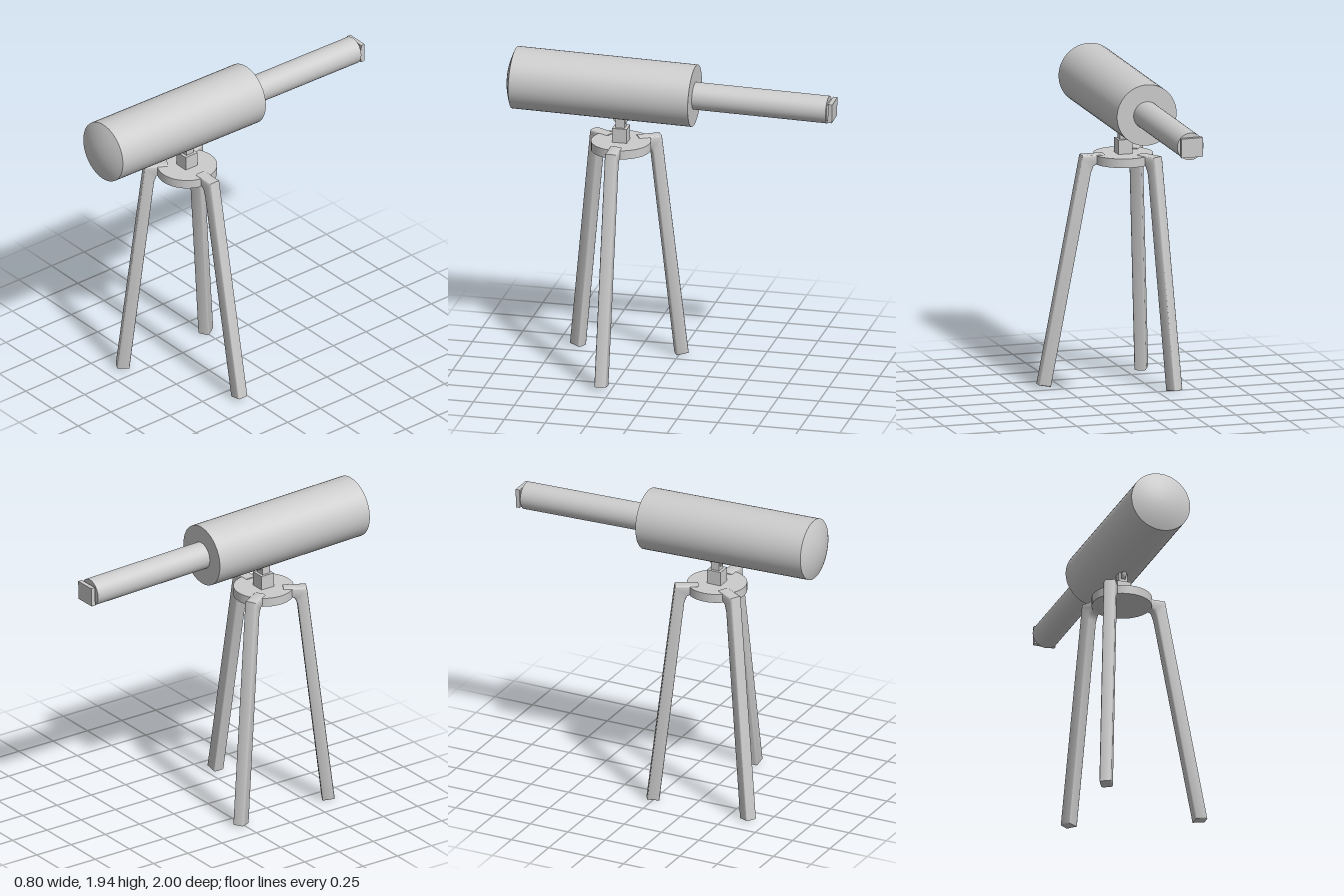
import * as THREE from 'three';
import { toCreasedNormals } from 'three/addons/utils/BufferGeometryUtils.js';

export function createModel() {
  const model = new THREE.Group();
  model.name = 'telescopeOnTripod';
  const grey = new THREE.MeshStandardMaterial({ color: 0xcccccc });
  grey.name = 'light grey';

  function add(parent, name, geometry, x = 0, y = 0, z = 0) {
    const mesh = new THREE.Mesh(geometry, grey);
    mesh.name = name;
    mesh.position.set(x, y, z);
    parent.add(mesh);
    return mesh;
  }

  // Optical tube: built along local +y, then tipped towards the front
  const tube = new THREE.Group();
  tube.name = 'opticalTube';
  tube.position.set(-0.137, 1.728, -0.143);
  tube.quaternion.setFromUnitVectors(
    new THREE.Vector3(0, 1, 0),
    new THREE.Vector3(0.009, 0.025, 1.1).normalize()
  );
  model.add(tube);

  const R = 0.187, LENGTH = 1.1;
  add(tube, 'mainBarrel', new THREE.CylinderGeometry(R, R, LENGTH, 48), 0, LENGTH / 2, 0);

  // Shallow domed front lens
  const dome = [];
  for (let i = 0; i <= 8; i++) {
    const t = i / 8;
    dome.push(new THREE.Vector2(R * (1 - t), 0.042 * (1 - (1 - t) ** 2)));
  }
  add(tube, 'frontLens', new THREE.LatheGeometry(dome, 48), 0, LENGTH, 0);

  // Narrow rear tube with a square eyepiece
  add(tube, 'rearTube', new THREE.CylinderGeometry(0.083, 0.083, 0.83, 40), 0, -0.405, 0);
  add(tube, 'eyepieceNeck', new THREE.BoxGeometry(0.11, 0.03, 0.095), 0, -0.825, 0);
  add(tube, 'eyepiece', new THREE.BoxGeometry(0.135, 0.026, 0.117), 0, -0.844, 0);

  // Mount: block, two fork prongs and the pivot tongue under the barrel
  const CX = -0.135, CZ = 0.309;
  add(model, 'mountBlock', new THREE.BoxGeometry(0.087, 0.09, 0.09), CX, 1.448, CZ);
  add(model, 'forkBase', new THREE.BoxGeometry(0.054, 0.025, 0.054), CX, 1.502, CZ);
  for (const side of [-1, 1]) {
    add(model, 'forkProng', new THREE.BoxGeometry(0.013, 0.075, 0.054), CX + side * 0.0205, 1.527, CZ);
  }
  const tongue = new THREE.CylinderGeometry(0.048, 0.048, 0.028, 24).rotateZ(Math.PI / 2);
  add(model, 'pivotTongue', tongue, CX, 1.558, CZ);

  // Tripod plate
  add(model, 'tripodPlate', new THREE.CylinderGeometry(0.18, 0.18, 0.055, 40), CX, 1.3775, CZ);

  // Leg: bent side profile (outer top corner at x = 0), extruded to its width
  function addLeg(name, x, z, dx, dz, spread, footY) {
    const drop = spread * 0.053;
    const profile = new THREE.Shape([
      [-0.14, 1.41], [-0.14, 1.35], [-0.09, 1.352], [-0.07, 1.34], [-0.055, 1.3],
      [spread - 0.074, footY], [spread, footY + drop], [0.004, 1.39], [0, 1.41],
    ].map(([px, py]) => new THREE.Vector2(px, py)));
    const bevel = 0.01, width = 0.073;
    const geometry = new THREE.ExtrudeGeometry(profile, {
      depth: width - 2 * bevel, bevelEnabled: true, bevelThickness: bevel,
      bevelSize: bevel, bevelOffset: -bevel, bevelSegments: 2,
    });
    geometry.translate(0, 0, -width / 2 + bevel);
    const leg = add(model, name, toCreasedNormals(geometry, 0.9), x, 0, z);
    leg.rotation.y = Math.atan2(-dz, dx);
  }
  addLeg('leftLeg', 0.13, CZ, 1, 0, 0.27, 0.01);
  addLeg('rightFrontLeg', -0.289, CZ + 0.204, -0.49, 0.87, 0.168, 0);
  addLeg('rightBackLeg', -0.289, CZ - 0.204, -0.49, -0.87, 0.168, 0);

  return model;
}
